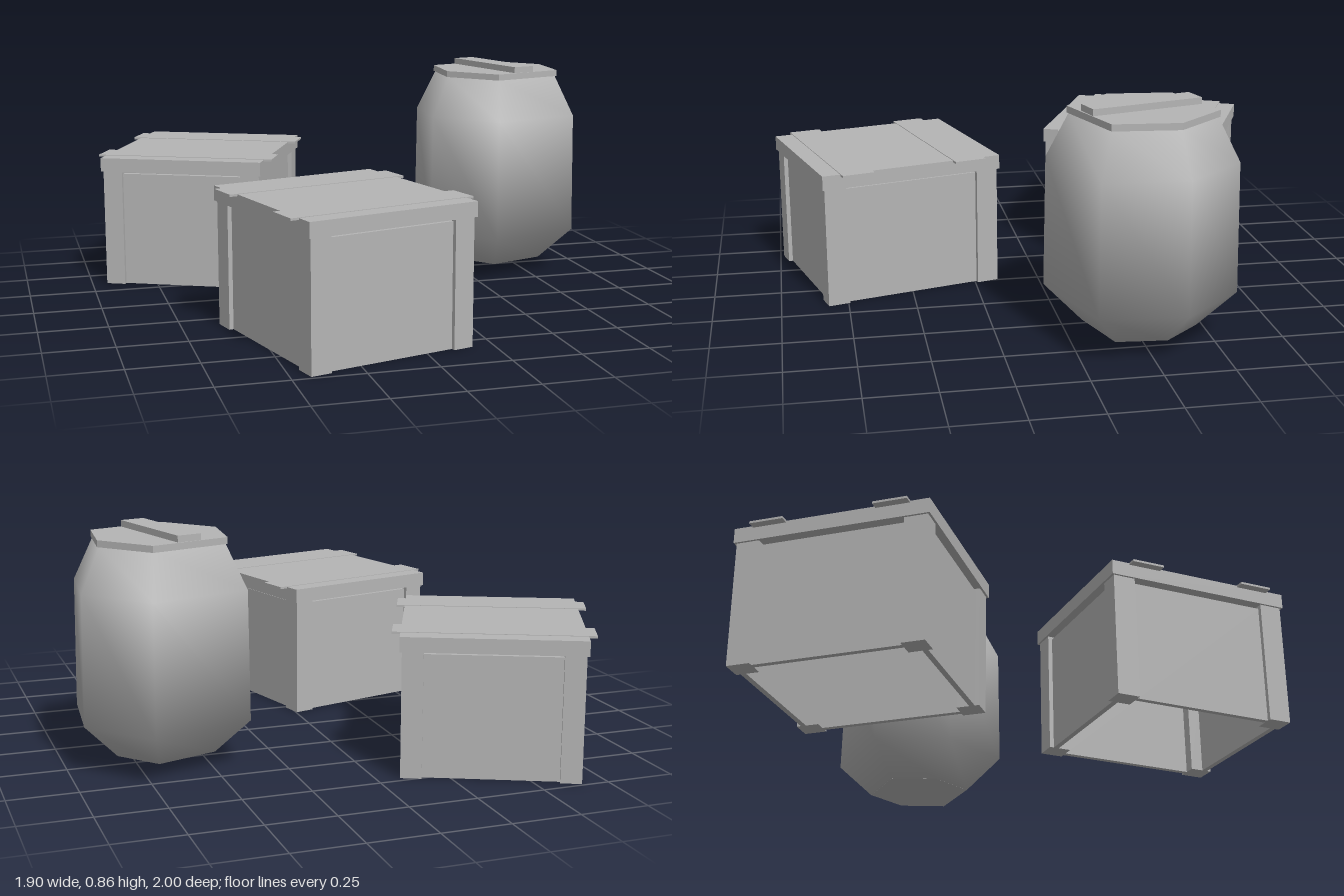
import * as THREE from 'three';

const grey = new THREE.MeshStandardMaterial({ color: 0xb4b4b4 });
grey.name = 'plain grey';

function add(parent, name, geometry, x = 0, y = 0, z = 0) {
  const mesh = new THREE.Mesh(geometry, grey);
  mesh.name = name;
  mesh.position.set(x, y, z);
  parent.add(mesh);
  return mesh;
}

const box = (w, h, d) => new THREE.BoxGeometry(w, h, d);

// Open-bottomed crate: corner posts, recessed panels, lid and two thin battens
function makeCrate(name, x, z, degrees) {
  const crate = new THREE.Group();
  crate.name = name;
  const halfW = 0.314, halfD = 0.344, postW = 0.075, postD = 0.083;
  const inset = 0.016, thick = 0.02, lidBottom = 0.455, panelTop = 0.445;

  for (const sx of [-1, 1]) {
    for (const sz of [-1, 1]) {
      add(crate, 'cornerPost', box(postW, lidBottom, postD),
        sx * (halfW - postW / 2), lidBottom / 2, sz * (halfD - postD / 2));
    }
  }
  for (const s of [-1, 1]) {
    add(crate, 'endPanel', box(2 * (halfW - postW), panelTop, thick),
      0, panelTop / 2, s * (halfD - inset - thick / 2));
    add(crate, 'sidePanel', box(thick, panelTop, 2 * (halfD - postD)),
      s * (halfW - inset - thick / 2), panelTop / 2, 0);
    add(crate, 'lidBatten', box(0.704, 0.008, 0.122), 0, 0.507, s * 0.222);
  }
  add(crate, 'lid', box(0.644, 0.054, 0.704), 0, lidBottom + 0.027, 0);

  crate.position.set(x, 0, z);
  crate.rotation.y = THREE.MathUtils.degToRad(degrees);
  return crate;
}

// Turns a regular unit hexagon into the barrel's slightly stretched one
function stretchHexagon(geometry) {
  const p = geometry.attributes.position;
  for (let i = 0; i < p.count; i++) {
    const onAxis = Math.abs(p.getZ(i)) < 1e-5;
    p.setX(i, p.getX(i) * (onAxis ? 0.313 : 0.386));
    p.setZ(i, p.getZ(i) * 0.32);
  }
  return geometry;
}

function hexPrism(scale, height) {
  const geometry = stretchHexagon(
    new THREE.CylinderGeometry(scale, scale, height, 6, 1, false, Math.PI / 2)).toNonIndexed();
  geometry.computeVertexNormals();
  return geometry;
}

function makeBarrel() {
  const barrel = new THREE.Group();
  barrel.name = 'barrel';

  // Smooth six-sided body
  const profile = [[0.6, 0.05], [1.01, 0.18], [0.99, 0.65], [0.75, 0.81]]
    .map(([r, y]) => new THREE.Vector2(r, y));
  add(barrel, 'barrelBody',
    stretchHexagon(new THREE.LatheGeometry(profile, 6, Math.PI / 2)));
  add(barrel, 'barrelBottom', hexPrism(0.598, 0.004), 0, 0.052, 0);
  add(barrel, 'barrelLid', hexPrism(0.775, 0.024), 0, 0.82, 0);

  // Plank across the lid
  const plank = add(barrel, 'lidPlank', box(0.09, 0.025, 0.42), -0.008, 0.843, 0);
  plank.rotation.y = THREE.MathUtils.degToRad(-3);

  barrel.position.set(0.649, 0, -0.249);
  barrel.rotation.y = THREE.MathUtils.degToRad(18);
  return barrel;
}

export function createModel() {
  const model = new THREE.Group();
  model.name = 'cratesAndBarrel';
  model.add(makeCrate('frontCrate', -0.219, 0.573, 15));
  model.add(makeCrate('backCrate', -0.513, -0.546, -25));
  model.add(makeBarrel());
  return model;
}
